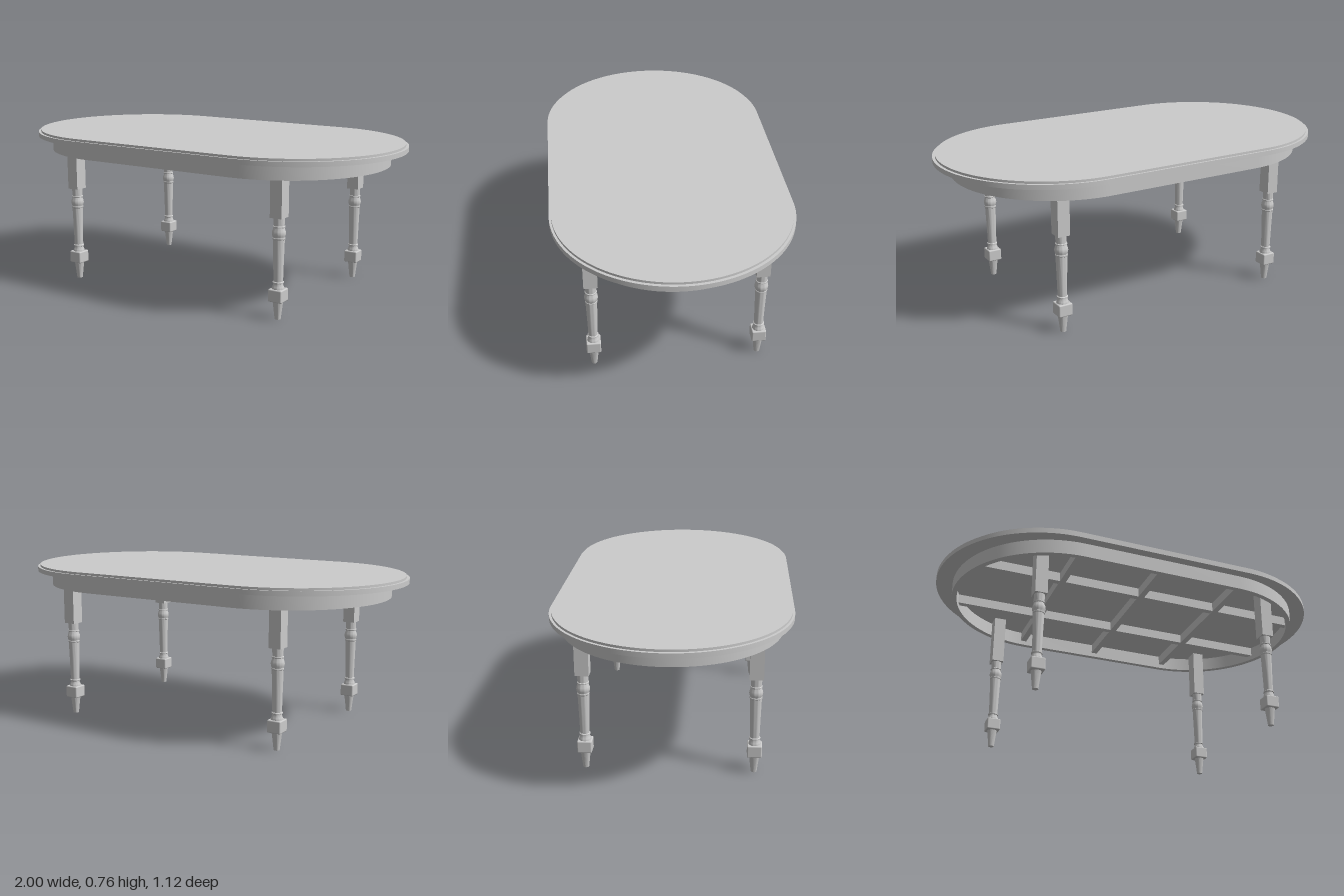
import * as THREE from 'three';
import { toCreasedNormals } from 'three/addons/utils/BufferGeometryUtils.js';
import { RoundedBoxGeometry } from 'three/addons/geometries/RoundedBoxGeometry.js';

const material = new THREE.MeshStandardMaterial({ color: 0xcccccc });

function addMesh(parent, name, geometry, x = 0, y = 0, z = 0) {
  const mesh = new THREE.Mesh(geometry, material);
  mesh.name = name;
  mesh.position.set(x, y, z);
  parent.add(mesh);
  return mesh;
}

// Rounded-end outline: half length along x, radius of the ends
function trace(path, halfLength, radius) {
  const c = halfLength - radius;
  path.moveTo(-c, -radius);
  path.lineTo(c, -radius);
  path.absarc(c, 0, radius, -Math.PI / 2, Math.PI / 2, false);
  path.lineTo(-c, radius);
  path.absarc(-c, 0, radius, Math.PI / 2, Math.PI * 1.5, false);
  return path;
}

// Horizontal slab of that outline from y0 to y1, optionally hollow
function slab(halfLength, radius, y0, y1, wall = 0) {
  const shape = trace(new THREE.Shape(), halfLength, radius);
  if (wall) shape.holes.push(trace(new THREE.Path(), halfLength - wall, radius - wall));
  const geometry = new THREE.ExtrudeGeometry(shape, {
    depth: y1 - y0, bevelEnabled: false, curveSegments: 40,
  });
  geometry.rotateX(-Math.PI / 2);
  geometry.translate(0, y0, 0);
  return toCreasedNormals(geometry, 0.5);
}

function lathe(points) {
  const profile = points.map(([r, y]) => new THREE.Vector2(r, y));
  return toCreasedNormals(new THREE.LatheGeometry(profile, 28), 0.6);
}

function createLeg() {
  const leg = new THREE.Group();
  addMesh(leg, 'legPost', new THREE.BoxGeometry(0.06, 0.255, 0.065), 0, 0.6025, 0);
  // Turned shaft with rings and a bulge
  addMesh(leg, 'turnedShaft', lathe([
    [0.029, 0.140], [0.029, 0.147], [0.026, 0.155], [0.022, 0.166],
    [0.022, 0.170], [0.026, 0.172], [0.026, 0.177], [0.022, 0.180],
    [0.024, 0.270], [0.027, 0.374], [0.029, 0.376], [0.029, 0.382],
    [0.027, 0.384], [0.030, 0.392], [0.032, 0.403], [0.030, 0.414],
    [0.026, 0.424], [0.025, 0.429], [0.028, 0.431], [0.028, 0.436],
    [0.025, 0.438], [0.026, 0.476],
  ]));
  addMesh(leg, 'ankleBlock', new RoundedBoxGeometry(0.069, 0.06, 0.069, 2, 0.006), 0, 0.115, 0);
  addMesh(leg, 'taperedFoot', lathe([
    [0, 0], [0.014, 0], [0.023, 0.075], [0.026, 0.09],
  ]));
  return leg;
}

export function createModel() {
  const table = new THREE.Group();
  table.name = 'ovalTable';

  // Stepped top and hollow apron
  addMesh(table, 'lowerTop', slab(1, 0.56, 0.726, 0.749));
  addMesh(table, 'upperTop', slab(0.986, 0.55, 0.749, 0.76));
  addMesh(table, 'apron', slab(0.917, 0.514, 0.655, 0.728, 0.025));

  // Braces under the top
  for (const x of [-0.42, 0, 0.42]) {
    addMesh(table, 'crossBrace', new THREE.BoxGeometry(0.03, 0.05, 1), x, 0.703, 0);
  }
  for (const z of [-0.2, 0.2]) {
    addMesh(table, 'longBrace', new THREE.BoxGeometry(1.72, 0.048, 0.03), 0, 0.703, z);
  }

  // Four legs
  for (const x of [-0.586, 0.603]) {
    for (const z of [-0.4, 0.392]) {
      const leg = createLeg();
      leg.name = (z > 0 ? 'front' : 'back') + (x > 0 ? 'Left' : 'Right') + 'Leg';
      leg.position.set(x, 0, z);
      table.add(leg);
    }
  }
  return table;
}
